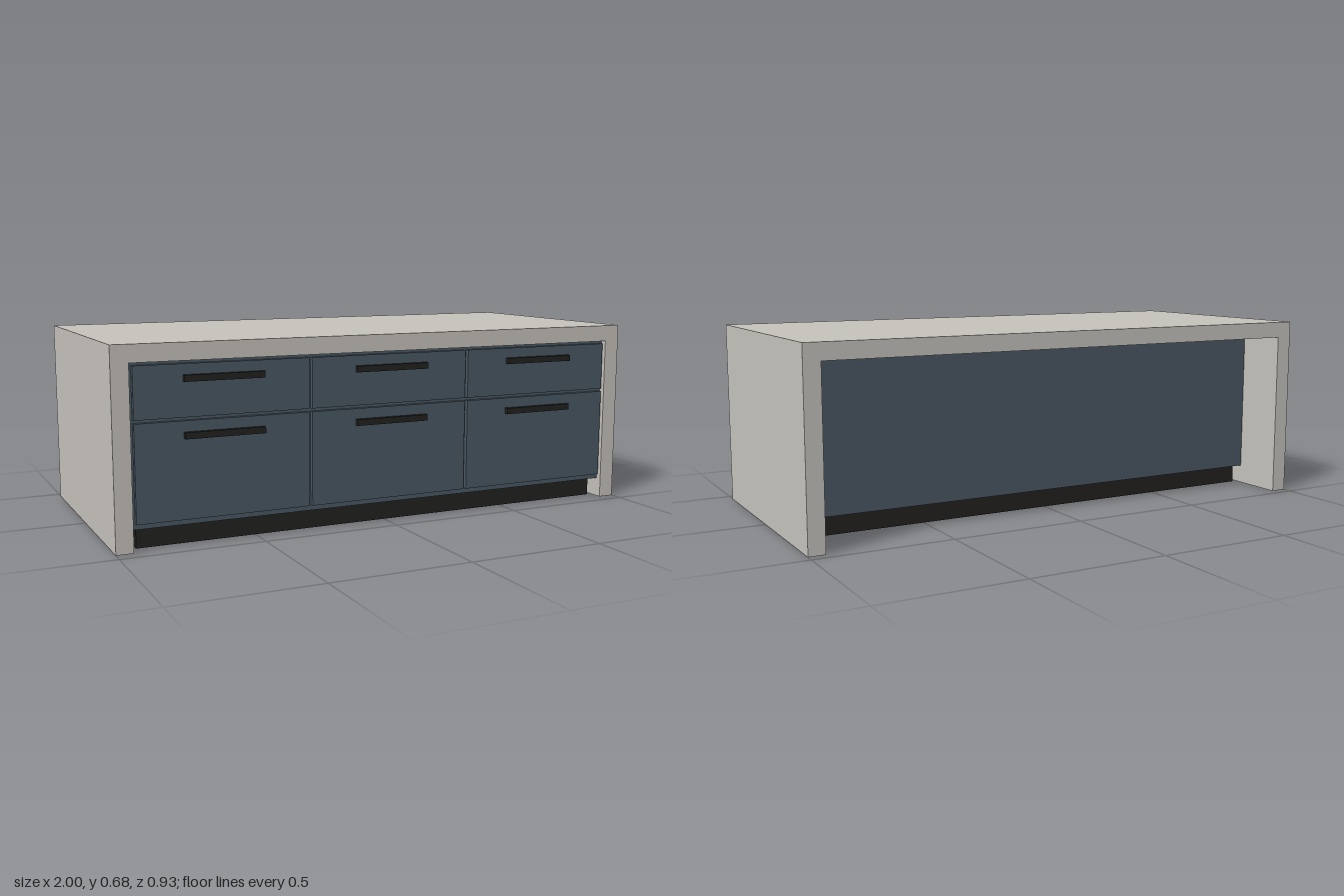
import * as THREE from 'three';

const stone = new THREE.MeshStandardMaterial({ color: 0xc6c3bd });
stone.name = 'pale stone';
const paint = new THREE.MeshStandardMaterial({ color: 0x4a5863 });
paint.name = 'slate blue paint';
const black = new THREE.MeshStandardMaterial({ color: 0x222120 });
black.name = 'matt black';

// Box given by its minimum and maximum corners
function block(name, material, [x0, y0, z0], [x1, y1, z1]) {
  const geometry = new THREE.BoxGeometry(x1 - x0, y1 - y0, z1 - z0);
  const mesh = new THREE.Mesh(geometry, material);
  mesh.name = name;
  mesh.position.set((x0 + x1) / 2, (y0 + y1) / 2, (z0 + z1) / 2);
  return mesh;
}

export function createModel() {
  const island = new THREE.Group();
  island.name = 'kitchenIsland';

  // Waterfall worktop: top and both side slabs in one piece
  const outline = new THREE.Shape([
    [-1, 0], [-0.94, 0], [-0.94, 0.62], [0.94, 0.62],
    [0.94, 0], [1, 0], [1, 0.68], [-1, 0.68],
  ].map(([x, y]) => new THREE.Vector2(x, y)));
  const worktop = new THREE.Mesh(
    new THREE.ExtrudeGeometry(outline, { depth: 0.92, bevelEnabled: false }), stone);
  worktop.name = 'waterfallWorktop';
  worktop.position.z = -0.467;
  island.add(worktop);

  // Cabinet body, set in at the back for a seating overhang, on a recessed plinth
  island.add(block('cabinetBody', paint, [-0.937, 0.072, -0.275], [0.937, 0.618, 0.433]));
  island.add(block('plinth', black, [-0.92, 0, -0.245], [0.92, 0.072, 0.4]));

  // Three columns of a shallow drawer over a deep one, each with a bar handle
  const rows = [
    { name: 'shallow', bottom: 0.434, top: 0.61, handle: 0.563 },
    { name: 'deep', bottom: 0.092, top: 0.423, handle: 0.375 },
  ];
  for (const x of [-0.623, 0, 0.623]) {
    for (const row of rows) {
      const drawer = new THREE.Group();
      drawer.name = row.name + 'Drawer';
      drawer.add(block('drawerFront', paint,
        [x - 0.306, row.bottom, 0.433], [x + 0.306, row.top, 0.45]));
      drawer.add(block('handle', black,
        [x - 0.14, row.handle - 0.011, 0.45], [x + 0.14, row.handle + 0.011, 0.467]));
      island.add(drawer);
    }
  }
  return island;
}
